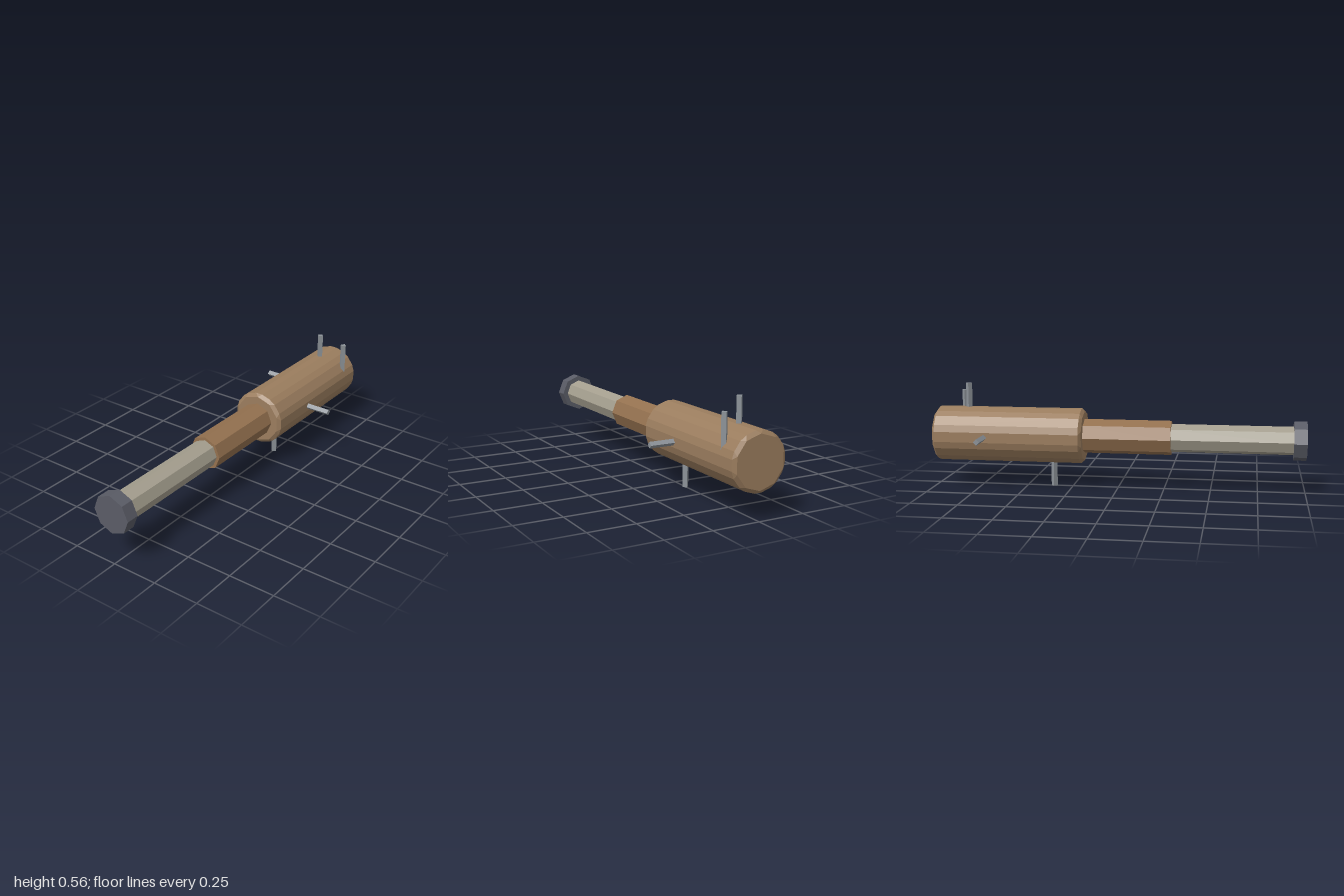
import * as THREE from 'three';

const AXIS_Y = 0.28;

const makeMaterial = (name, color) => {
  const m = new THREE.MeshStandardMaterial({ color });
  m.name = name;
  return m;
};

// Ten-sided prism along z with every edge and corner chamfered
function chamferedPrism(sides, outerR, capR, zFront, zBack, bevel, spread) {
  const cap = [], ring = [];
  for (let i = 0; i < sides; i++) {
    const a = Math.PI / 2 + (i * 2 * Math.PI) / sides;
    cap.push([capR * Math.cos(a), capR * Math.sin(a)]);
    for (const s of [-spread, spread]) {
      ring.push([outerR * Math.cos(a + s), outerR * Math.sin(a + s)]);
    }
  }
  const positions = [];
  const tri = (...pts) => pts.forEach((p) => positions.push(...p));
  const n = ring.length;
  const z0 = zFront - bevel, z1 = zBack + bevel;
  // Long side faces
  for (let i = 0; i < n; i++) {
    const a = ring[i], b = ring[(i + 1) % n];
    tri([...a, z0], [...a, z1], [...b, z1]);
    tri([...a, z0], [...b, z1], [...b, z0]);
  }
  // End caps with their chamfers; the back end reverses the corner order
  for (const [zc, zr, front] of [[zFront, z0, true], [zBack, z1, false]]) {
    const face = (a, b, c) => (front ? tri(a, b, c) : tri(a, c, b));
    for (let i = 0; i < sides; i++) {
      const c0 = [...cap[i], zc], c1 = [...cap[(i + 1) % sides], zc];
      const r0 = [...ring[2 * i], zr], r1 = [...ring[2 * i + 1], zr];
      const r2 = [...ring[(2 * i + 2) % n], zr];
      face([0, 0, zc], c0, c1);
      face(c0, r0, r1);
      face(c0, r1, r2);
      face(c0, r2, c1);
    }
  }
  const g = new THREE.BufferGeometry();
  g.setAttribute('position', new THREE.Float32BufferAttribute(positions, 3));
  g.computeVertexNormals();
  return g;
}

export function createModel() {
  const model = new THREE.Group();
  model.name = 'spikedClub';

  const headWood = makeMaterial('head wood', 0x9b7d5e);
  const neckWood = makeMaterial('neck wood', 0x94714f);
  const wrap = makeMaterial('grip wrap', 0xa49e8e);
  const iron = makeMaterial('dark iron', 0x5a5c66);
  const steel = makeMaterial('spike steel', 0x8c9298);
  for (const m of [headWood, neckWood, wrap, iron, steel]) m.flatShading = true;

  const add = (name, geometry, material) => {
    const mesh = new THREE.Mesh(geometry, material);
    mesh.name = name;
    model.add(mesh);
    return mesh;
  };

  // Octagonal shaft section along z
  const section = (name, radius, zBack, zFront, material) => {
    const g = new THREE.CylinderGeometry(radius, radius, zFront - zBack, 8);
    g.rotateX(Math.PI / 2);
    add(name, g, material).position.set(0, AXIS_Y, (zFront + zBack) / 2);
  };

  // Head
  const head = chamferedPrism(10, 0.149, 0.134, -0.183, -1, 0.015, 0.13);
  add('head', head, headWood).position.y = AXIS_Y;

  // Shaft from neck to pommel
  section('neck', 0.093, -0.2, 0.288, neckWood);
  section('grip', 0.076, 0.27, 0.94, wrap);
  section('pommel', 0.105, 0.932, 1, iron);

  // Four-sided spikes running from inside the head outwards
  const spike = (name, from, to) => {
    const a = new THREE.Vector3(...from), b = new THREE.Vector3(...to);
    const g = new THREE.CylinderGeometry(0.017, 0.017, a.distanceTo(b), 4);
    if (Math.abs(a.x - b.x) > 0.01) g.rotateZ(Math.PI / 2);
    add(name, g, steel).position.copy(a.add(b).multiplyScalar(0.5));
  };
  spike('topSpike', [0, 0.36, -0.824], [0, 0.559, -0.824]);
  spike('bottomSpike', [0, 0.2, -0.353], [0, 0, -0.353]);
  spike('leftSpike', [0.08, AXIS_Y, -0.476], [0.28, AXIS_Y, -0.476]);
  spike('rightSpike', [-0.08, AXIS_Y, -0.71], [-0.28, AXIS_Y, -0.71]);
  spike('offsetTopSpike', [0.122, 0.306, -0.884], [0.122, 0.506, -0.884]);

  return model;
}
